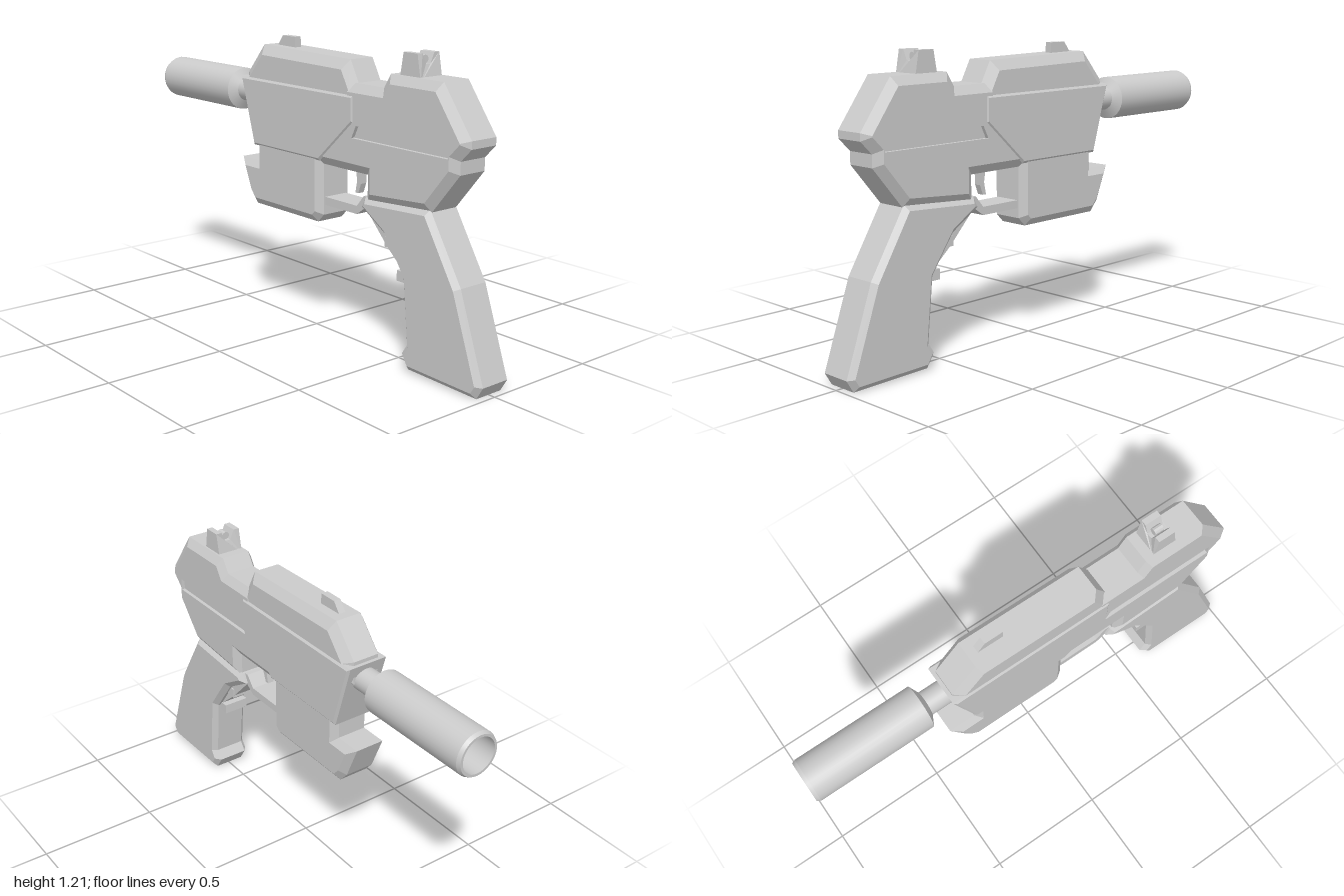
import * as THREE from 'three';

const material = new THREE.MeshStandardMaterial({ color: 0xcccccc, flatShading: true });
const smooth = new THREE.MeshStandardMaterial({ color: 0xcccccc, side: THREE.DoubleSide });

// Moves every edge of a counter-clockwise outline inwards by d
function inset(pts, d) {
  return pts.map((p, i) => {
    const a = pts[(i + pts.length - 1) % pts.length], b = pts[(i + 1) % pts.length];
    const u = p.clone().sub(a).normalize(), v = b.clone().sub(p).normalize();
    const n = new THREE.Vector2(-u.y - v.y, u.x + v.x);
    return p.clone().addScaledVector(n, d / (1 + u.dot(v)));
  });
}

// Symmetrical plate from a (z, y) outline, with chamfered sides and an optional sunk slot
function slab(outline, half, chamferX = 0, chamferIn = 0, slot = null, slotDepth = 0.015) {
  const ccw = list => {
    const pts = list.map(([z, y]) => new THREE.Vector2(z, y));
    return THREE.ShapeUtils.isClockWise(pts) ? pts.reverse() : pts;
  };
  const pts = ccw(outline), face = inset(pts, chamferIn), pos = [];
  const tri = (...corners) => corners.forEach(([x, p]) => pos.push(x, p.y, p.x));
  const wall = (r0, x0, r1, x1) => r0.forEach((p, i) => {
    const j = (i + 1) % r0.length;
    tri([x0, p], [x1, r1[j]], [x0, r0[j]]);
    tri([x0, p], [x1, r1[i]], [x1, r1[j]]);
  });
  const cap = (contour, holes, x) => {
    const all = [contour, ...holes].flat();
    for (const [a, b, c] of THREE.ShapeUtils.triangulateShape(contour.slice(), holes.map(h => h.slice()))) {
      tri([-x, all[a]], [-x, all[b]], [-x, all[c]]);
      tri([x, all[a]], [x, all[c]], [x, all[b]]);
    }
  };
  const inner = half - chamferX;
  wall(pts, -inner, pts, inner);
  if (chamferX) {
    wall(face, -half, pts, -inner);
    wall(pts, inner, face, half);
  }
  const hole = slot ? ccw(slot) : null;
  cap(face, hole ? [hole.slice().reverse()] : [], half);
  if (hole) {
    const back = hole.slice().reverse(), floor = half - slotDepth;
    wall(back, -half, back, -floor);
    wall(back, floor, back, half);
    cap(hole, [], floor);
  }
  const g = new THREE.BufferGeometry();
  g.setAttribute('position', new THREE.Float32BufferAttribute(pos, 3));
  g.computeVertexNormals();
  return g;
}

export function createModel() {
  const group = new THREE.Group();
  const add = (name, geometry, mat = material) => {
    const mesh = new THREE.Mesh(geometry, mat);
    mesh.name = name;
    group.add(mesh);
    return mesh;
  };

  // Rear body with a long slot on each side
  add('rearBody', slab([
    [0.77, 1.12], [0.5, 1.12], [0.465, 1.065], [0.25, 1.065], [0.25, 0.95], [0.04, 0.8], [0.04, 0.72],
    [0.38, 0.72], [0.38, 0.615], [0.725, 0.64], [0.86, 0.8], [0.86, 0.85], [0.91, 0.9], [0.91, 0.93],
  ], 0.086, 0.024, 0.035, [[0.82, 0.855], [0.82, 0.905], [0.335, 0.905], [0.31, 0.855]]));

  // Upper slide and side panel
  add('slide', slab([
    [0.33, 0.94], [0.33, 1.04], [0.27, 1.15], [-0.27, 1.16], [-0.38, 1.035], [-0.38, 0.94],
  ], 0.084, 0.028, 0.04));
  add('frontPanel', slab([
    [0.32, 1.02], [-0.395, 1.02], [-0.31, 0.735], [0.12, 0.735], [0.32, 0.915],
  ], 0.091, 0.008, 0.01));

  // Lower front block with a pointed nose
  add('lowerBlock', slab([
    [0.12, 0.8], [0.12, 0.51], [0.085, 0.475], [-0.32, 0.475], [-0.36, 0.52], [-0.42, 0.665],
    [-0.305, 0.665], [-0.305, 0.8],
  ], 0.086, 0.024, 0.03));

  // Grip
  add('grip', slab([
    [0.72, 0.65], [0.88, 0.39], [1.0, 0.05], [0.97, 0], [0.62, 0.005], [0.585, 0.06], [0.612, 0.1],
    [0.587, 0.36], [0.545, 0.42], [0.48, 0.51], [0.35, 0.59], [0.37, 0.63],
  ], 0.084, 0.02, 0.022));
  add('gripTang', slab([[0.5, 0.58], [0.34, 0.6], [0.48, 0.455], [0.58, 0.37]], 0.05));
  for (const [z, y] of [[0.575, 0.357], [0.505, 0.475]])
    add('fingerRest', new THREE.BoxGeometry(0.11, 0.042, 0.07)).position.set(0, y, z);

  // Trigger and guard
  add('triggerGuard', slab([
    [0.4, 0.63], [0.36, 0.585], [0.31, 0.55], [0.1, 0.55], [0.1, 0.583], [0.31, 0.583], [0.35, 0.63],
  ], 0.055));
  add('trigger', slab([
    [0.29, 0.73], [0.255, 0.73], [0.265, 0.67], [0.255, 0.62], [0.272, 0.62], [0.287, 0.66],
  ], 0.014));

  // Notched rear sight, tapering upwards
  const notch = new THREE.Shape([
    [-0.055, 1.1], [0.055, 1.1], [0.055, 1.205], [0.03, 1.205], [0.012, 1.165],
    [-0.012, 1.165], [-0.03, 1.205], [-0.055, 1.205],
  ].map(([x, y]) => new THREE.Vector2(x, y)));
  const sight = new THREE.ExtrudeGeometry(notch, { depth: 0.11, bevelEnabled: false });
  const p = sight.attributes.position;
  for (let i = 0; i < p.count; i++)
    p.setZ(i, 0.593 + (p.getZ(i) - 0.055) * (p.getY(i) > 1.15 ? 0.65 : 1));
  sight.computeVertexNormals();
  add('rearSight', sight);
  const bead = add('sightBead', new THREE.CylinderGeometry(0.016, 0.016, 0.04, 10));
  bead.rotation.x = Math.PI / 2;
  bead.position.set(0, 1.18, 0.593);

  // Front sight
  add('frontSight', slab([[-0.12, 1.14], [-0.12, 1.2], [-0.2, 1.2], [-0.235, 1.155], [-0.235, 1.14]], 0.015));

  // Neck and hollow muzzle tube, turned as crisp bands around the barrel axis
  const profile = [
    [0.05, 0.3], [0.05, 0.47], [0.09, 0.49], [0.09, 0.985], [0.083, 1.0], [0.073, 1.0], [0.073, 0.6], [0, 0.6],
  ].map(([r, d]) => new THREE.Vector2(r, d));
  for (let i = 0; i < profile.length - 1; i++) {
    const band = add('barrel', new THREE.LatheGeometry([profile[i], profile[i + 1]], 32), smooth);
    band.rotation.x = -Math.PI / 2;
    band.position.y = 0.945;
  }
  return group;
}
